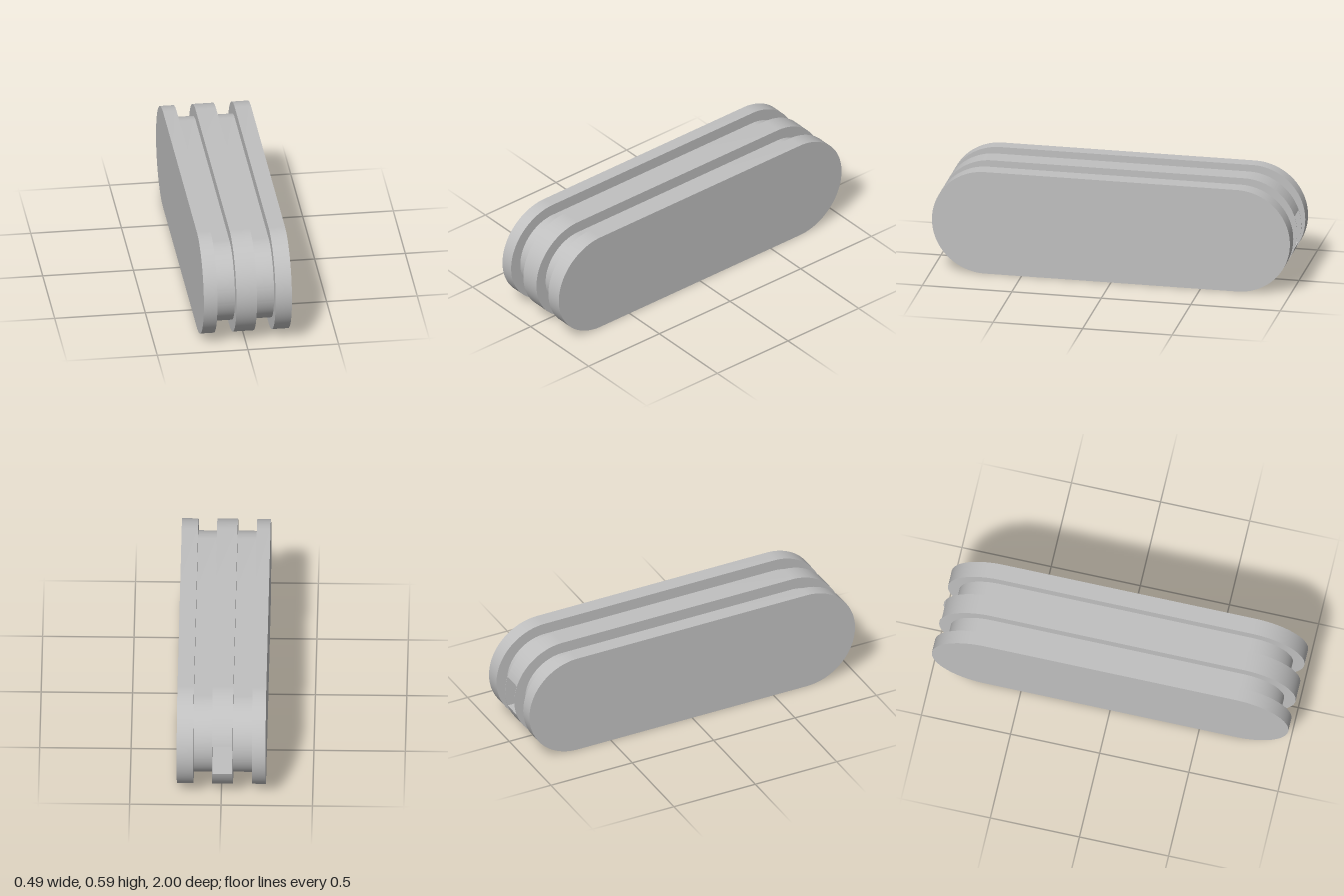
import * as THREE from 'three';
import { toCreasedNormals } from 'three/addons/utils/BufferGeometryUtils.js';

const BIG = 0.295, SMALL = 0.23, HALF = 0.705;   // end radii and half of the straight run
const NOTCH_H = 0.093, NOTCH_DEPTH = 0.3;        // half height and depth of the rear pocket

// Long rounded outline; shape +x becomes the back (-z) once turned
function stadium(r, notched = false) {
  const s = new THREE.Shape();
  s.moveTo(-HALF, -r);
  s.lineTo(HALF, -r);
  if (notched) {
    const a = Math.asin(NOTCH_H / r);
    const floor = HALF + r - NOTCH_DEPTH;
    s.absarc(HALF, 0, r, -Math.PI / 2, -a, false);
    s.lineTo(floor, -NOTCH_H);
    s.lineTo(floor, NOTCH_H);
    s.absarc(HALF, 0, r, a, Math.PI / 2, false);
  } else {
    s.absarc(HALF, 0, r, -Math.PI / 2, Math.PI / 2, false);
  }
  s.lineTo(-HALF, r);
  s.absarc(-HALF, 0, r, Math.PI / 2, Math.PI * 1.5, false);
  return s;
}

export function createModel() {
  const group = new THREE.Group();
  const grey = new THREE.MeshStandardMaterial({ color: 0xc0c0c0 });
  grey.name = 'light grey';

  // Slab of the outline between two x positions
  function slab(name, x0, x1, shape) {
    const geo = new THREE.ExtrudeGeometry(shape, { depth: x1 - x0, bevelEnabled: false, curveSegments: 40 });
    geo.rotateY(Math.PI / 2);
    geo.translate(x0, BIG, 0);
    const mesh = new THREE.Mesh(toCreasedNormals(geo, 0.5), grey);
    mesh.name = name;
    group.add(mesh);
  }

  // Outer flanges
  slab('rightFlange', -0.243, -0.168, stadium(BIG));
  slab('leftFlange', 0.153, 0.243, stadium(BIG));

  // Recessed grooves
  slab('rightGroove', -0.168, -0.063, stadium(SMALL));
  slab('leftGroove', 0.05, 0.153, stadium(SMALL));

  // Middle rib with a pocket at the back, closed by thin side walls
  const wall = 0.002;
  slab('middleRib', -0.063 + wall, 0.05 - wall, stadium(BIG, true));
  slab('rightPocketWall', -0.063, -0.063 + wall, stadium(BIG));
  slab('leftPocketWall', 0.05 - wall, 0.05, stadium(BIG));

  return group;
}
